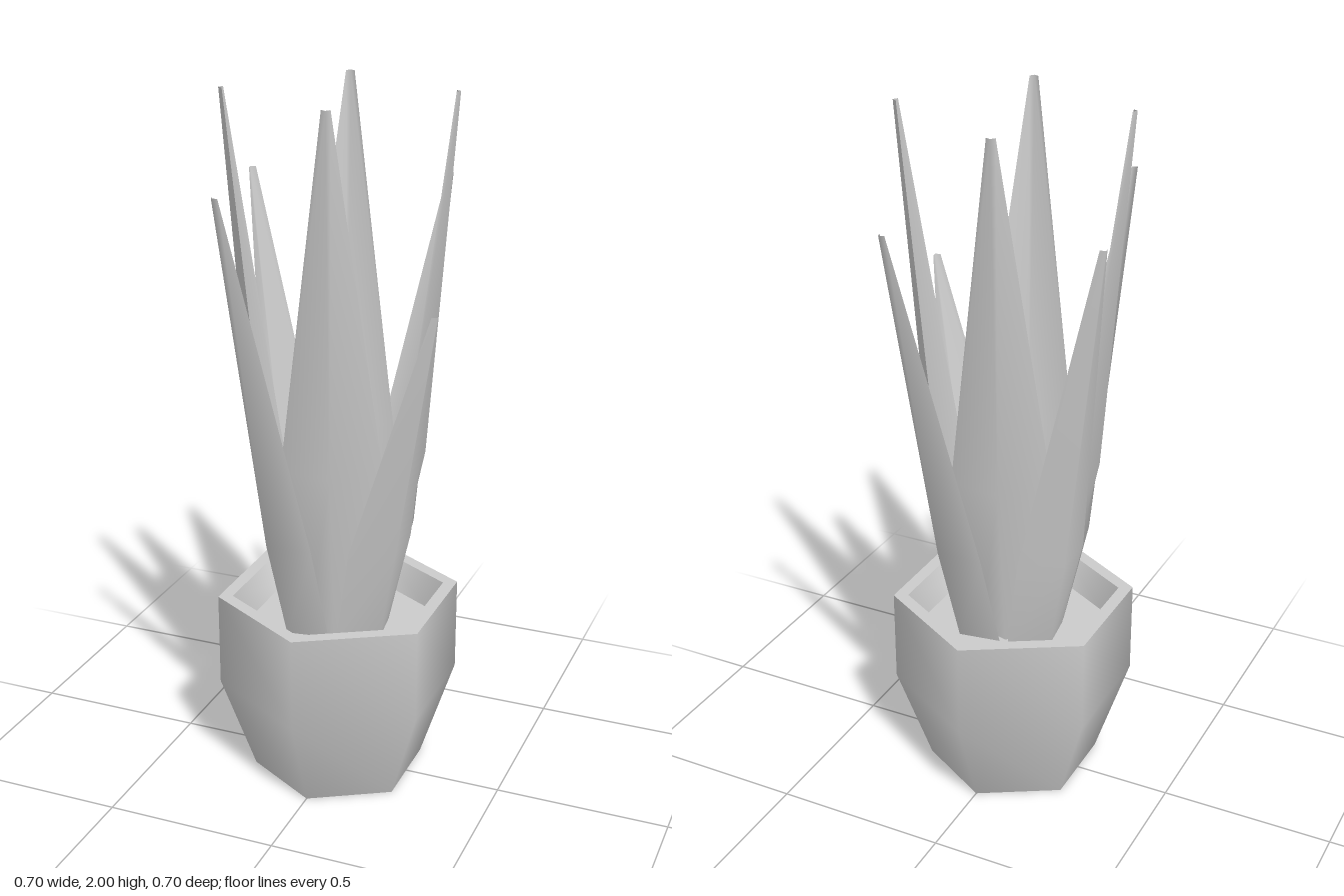
import * as THREE from 'three';

const grey = new THREE.MeshStandardMaterial({ color: 0xcccccc });
const leafMaterial = new THREE.MeshStandardMaterial({ color: 0xcccccc, side: THREE.DoubleSide });

// Six-sided revolved surface with a corner facing front
function hexLathe(name, profile) {
  const points = profile.map(([r, y]) => new THREE.Vector2(r, y));
  const mesh = new THREE.Mesh(new THREE.LatheGeometry(points, 6), grey);
  mesh.name = name;
  return mesh;
}

// Folded leaf leaning towards +z; each section is [y, half width, edge z, ridge z]
function leafGeometry(sections) {
  const positions = [], indices = [];
  for (const [y, w, edge, ridge] of sections) {
    positions.push(-w, y, edge, 0, y, ridge, w, y, edge);
  }
  for (let s = 0; s < sections.length - 1; s++) {
    for (let i = 0; i < 2; i++) {
      const a = s * 3 + i, b = a + 1, c = a + 3, d = a + 4;
      indices.push(a, b, d, a, d, c);
    }
  }
  const geometry = new THREE.BufferGeometry();
  geometry.setAttribute('position', new THREE.Float32BufferAttribute(positions, 3));
  geometry.setIndex(indices);
  geometry.computeVertexNormals();
  return geometry;
}

function addLeaf(parent, name, sections, degrees) {
  const leaf = new THREE.Mesh(leafGeometry(sections), leafMaterial);
  leaf.name = name;
  leaf.rotation.y = THREE.MathUtils.degToRad(degrees);
  parent.add(leaf);
}

export function createModel() {
  const model = new THREE.Group();
  model.name = 'pottedPlant';

  // Hexagonal pot, each surface separate to keep the rims crisp
  const pot = new THREE.Group();
  pot.name = 'pot';
  pot.add(
    hexLathe('potBase', [[0, 0], [0.25, 0]]),
    hexLathe('potOuterWall', [[0.25, 0], [0.35, 0.285], [0.35, 0.56]]),
    hexLathe('potRim', [[0.35, 0.56], [0.308, 0.56]]),
    hexLathe('potInnerWall', [[0.308, 0.56], [0.265, 0.48]]),
    hexLathe('soil', [[0.265, 0.48], [0, 0.48]])
  );
  model.add(pot);

  const leaves = new THREE.Group();
  leaves.name = 'leaves';
  model.add(leaves);

  // Four tall inner leaves
  const tall = [
    [0.47, 0.08, 0.083, 0.135],
    [1.0, 0.14, 0.184, 0.243],
    [2.0, 0.012, 0.305, 0.316]
  ];
  for (let i = 0; i < 4; i++) addLeaf(leaves, 'innerLeaf', tall, 16 + i * 90);

  // Four shorter outer leaves of varied height, between the tall ones
  [1.48, 1.73, 1.73, 1.77].forEach((top, i) => {
    const outer = [
      [0.47, 0.095, 0.11, 0.185],
      [0.77, 0.112, 0.185, 0.255],
      [top, 0.012, 0.395, 0.406]
    ];
    addLeaf(leaves, 'outerLeaf', outer, 60 + i * 90);
  });

  return model;
}
